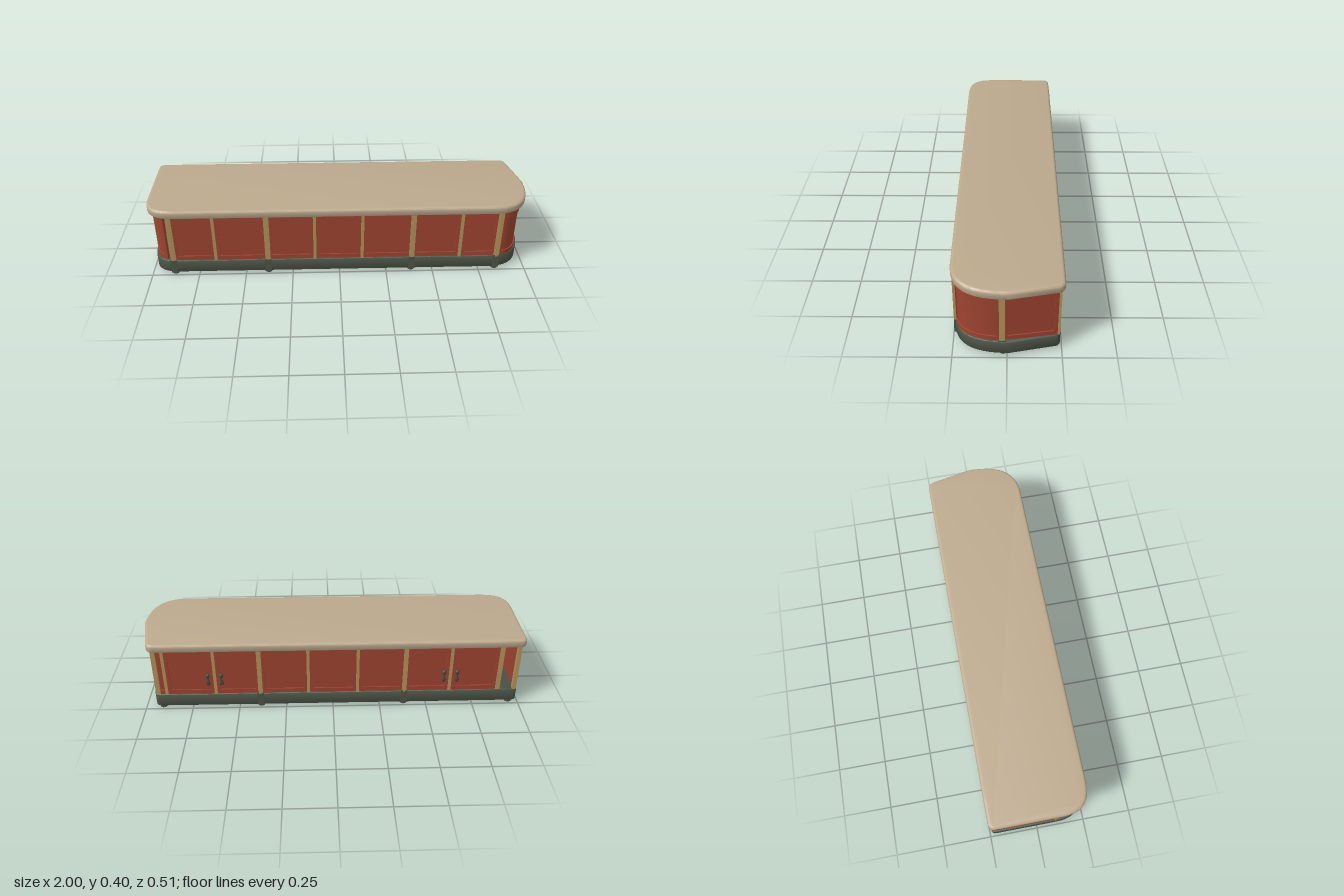
import * as THREE from 'three';
import { toCreasedNormals } from 'three/addons/utils/BufferGeometryUtils.js';

const mat = (name, color) => Object.assign(new THREE.MeshStandardMaterial({ color }), { name });

export function createModel() {
  const group = new THREE.Group();
  const red = mat('red panel paint', 0x9e4430);
  const wood = mat('golden wood', 0xb3935b);
  const stone = mat('beige top', 0xbca98d);
  const green = mat('dark green', 0x4d5547);
  const iron = mat('handle green', 0x414b43);

  const add = (name, geo, material, parent = group) => {
    const mesh = new THREE.Mesh(geo, material);
    mesh.name = name;
    parent.add(mesh);
    return mesh;
  };

  // Plan shape (x, z) of the counter, grown outwards by o
  function plan(o) {
    const L = -0.98 - o, R = 0.98 + o, F = 0.235 + o, B = -0.235 - o, c = 0.02;
    const s = new THREE.Shape();
    s.moveTo(L, B + c);
    s.quadraticCurveTo(L, B + 0.002, L + c, B + 0.002);
    s.lineTo(-0.85, B);
    s.lineTo(0.91 + o, B);
    s.quadraticCurveTo(0.933 + o, B, 0.937 + o, B + c);
    s.lineTo(R, -0.01);
    s.bezierCurveTo(R, 0.14, 0.94 + o, F, 0.8, F);
    s.lineTo(-0.84, F);
    s.bezierCurveTo(-0.95 - o, F, L, 0.2, L, 0.1);
    s.closePath();
    return s;
  }

  // Horizontal slab with rounded rims
  function slab(o, y0, y1, bevel) {
    const geo = new THREE.ExtrudeGeometry(plan(o - bevel), {
      depth: y1 - y0 - 2 * bevel, bevelEnabled: true, bevelSize: bevel,
      bevelThickness: bevel, bevelSegments: 4, curveSegments: 24,
    });
    geo.rotateX(Math.PI / 2).translate(0, y1 - bevel, 0);
    return toCreasedNormals(geo, 0.6);
  }
  add('counterTop', slab(0.02, 0.353, 0.4, 0.014), stone);
  add('plinth', slab(0.008, 0.015, 0.086, 0.004), green);

  // Upright strip following a plan curve, between two offsets from it
  function ribbon(curve, u0, u1, inner, outer, y0, y1) {
    const n = curve.isLineCurve ? 1 : 20;
    const out = [], back = [];
    for (let i = 0; i <= n; i++) {
      const u = u0 + (u1 - u0) * i / n;
      const p = curve.getPointAt(u), t = curve.getTangentAt(u);
      const normal = new THREE.Vector2(-t.y, t.x);
      out.push(p.clone().addScaledVector(normal, outer));
      back.unshift(p.clone().addScaledVector(normal, inner));
    }
    const geo = new THREE.ExtrudeGeometry(new THREE.Shape([...out, ...back]), {
      depth: y1 - y0, bevelEnabled: false,
    });
    geo.rotateX(Math.PI / 2).translate(0, y1, 0);
    return toCreasedNormals(geo, 0.5);
  }

  // Framed panel: recessed sheet, two rails, two stiles
  function panel(name, curve) {
    const g = new THREE.Group();
    g.name = name;
    group.add(g);
    const e = Math.min(0.2, 0.024 / curve.getLength());
    add('sheet', ribbon(curve, 0, 1, -0.014, -0.006, 0.08, 0.356), red, g);
    add('lowerRail', ribbon(curve, 0, 1, -0.012, 0, 0.08, 0.11), red, g);
    add('upperRail', ribbon(curve, 0, 1, -0.012, 0, 0.315, 0.356), red, g);
    add('startStile', ribbon(curve, 0, e, -0.012, 0, 0.11, 0.315), red, g);
    add('endStile', ribbon(curve, 1 - e, 1, -0.012, 0, 0.11, 0.315), red, g);
  }
  const v = (x, z) => new THREE.Vector2(x, z);
  const line = (x0, z0, x1, z1) => new THREE.LineCurve(v(x0, z0), v(x1, z1));

  // Wooden post; main posts also get a plinth block
  function post(x, z, angle, width, block = false) {
    const g = new THREE.Group();
    g.name = block ? 'mainPost' : 'slimPost';
    g.position.set(x, 0, z);
    g.rotation.y = angle;
    group.add(g);
    add('upright', new THREE.BoxGeometry(width, 0.272, 0.024).translate(0, 0.22, -0.004), wood, g);
    if (block) {
      add('bead', new THREE.BoxGeometry(width * 0.5, 0.272, 0.006).translate(0, 0.22, 0.009), wood, g);
      add('plinthBlock', new THREE.BoxGeometry(0.034, 0.076, 0.03).translate(0, 0.052, -0.003), green, g);
    }
  }
  function foot(x, z) {
    add('foot', new THREE.CylinderGeometry(0.018, 0.018, 0.018, 20).translate(x, 0.009, z), green);
  }

  // Front run
  const frontX = [-0.88, -0.655, -0.38, -0.13, 0.12, 0.385, 0.64, 0.84];
  frontX.forEach((x, i) => {
    const main = [0, 2, 5, 7].includes(i);
    post(x, 0.235, 0, main ? 0.028 : 0.016, main);
    if (main) foot(x, 0.222);
    if (i) panel('frontPanel', line(frontX[i - 1], 0.235, x, 0.235));
  });

  // Back run, with an opening between the last post and the left corner
  const backX = [0.925, 0.88, 0.62, 0.385, 0.13, -0.13, -0.38, -0.62, -0.88];
  backX.forEach((x, i) => {
    const main = i === 3 || i === 6;
    post(x, -0.232, Math.PI, i === 0 || i === 8 || main ? 0.024 : 0.016, main);
    if (i) panel('backPanel', line(backX[i - 1], -0.235, x, -0.235));
  });
  [0.91, 0.385, -0.38, -0.95].forEach((x) => foot(x, -0.22));

  // Rounded and slanted end
  panel('roundedPanel', new THREE.CubicBezierCurve(v(0.84, 0.235), v(0.925, 0.235), v(0.975, 0.15), v(0.975, 0.025)));
  panel('slantedPanel', line(0.975, 0.022, 0.936, -0.235));
  post(0.972, 0.022, Math.PI / 2, 0.027, true);
  foot(0.96, 0.018);

  // Straight end with rounded front corner, open beside the first front post
  panel('endPanel', line(-0.98, -0.23, -0.98, 0.1));
  panel('cornerPanel', new THREE.CubicBezierCurve(v(-0.98, 0.1), v(-0.98, 0.17), v(-0.955, 0.21), v(-0.91, 0.225)));
  post(-0.975, 0.1, -Math.PI / 2, 0.026, true);
  post(-0.97, -0.232, Math.PI, 0.02);
  foot(-0.965, 0.1);

  // Door handles: a knob, a neck and a hanging drop
  const drop = new THREE.LatheGeometry([
    [0, 0.143], [0.008, 0.147], [0.011, 0.157], [0.008, 0.168], [0.004, 0.178],
    [0.004, 0.188], [0.009, 0.195], [0.011, 0.204], [0.008, 0.213], [0, 0.216],
  ].map(([r, y]) => v(r, y)), 16).scale(1, 1, 0.65);
  for (const x of [0.655, 0.585, -0.585, -0.655]) {
    const g = new THREE.Group();
    g.name = 'handle';
    g.position.set(x, 0, -0.243);
    group.add(g);
    add('drop', drop, iron, g);
    add('mount', new THREE.BoxGeometry(0.01, 0.02, 0.014).translate(0, 0.204, 0.006), iron, g);
  }
  return group;
}
